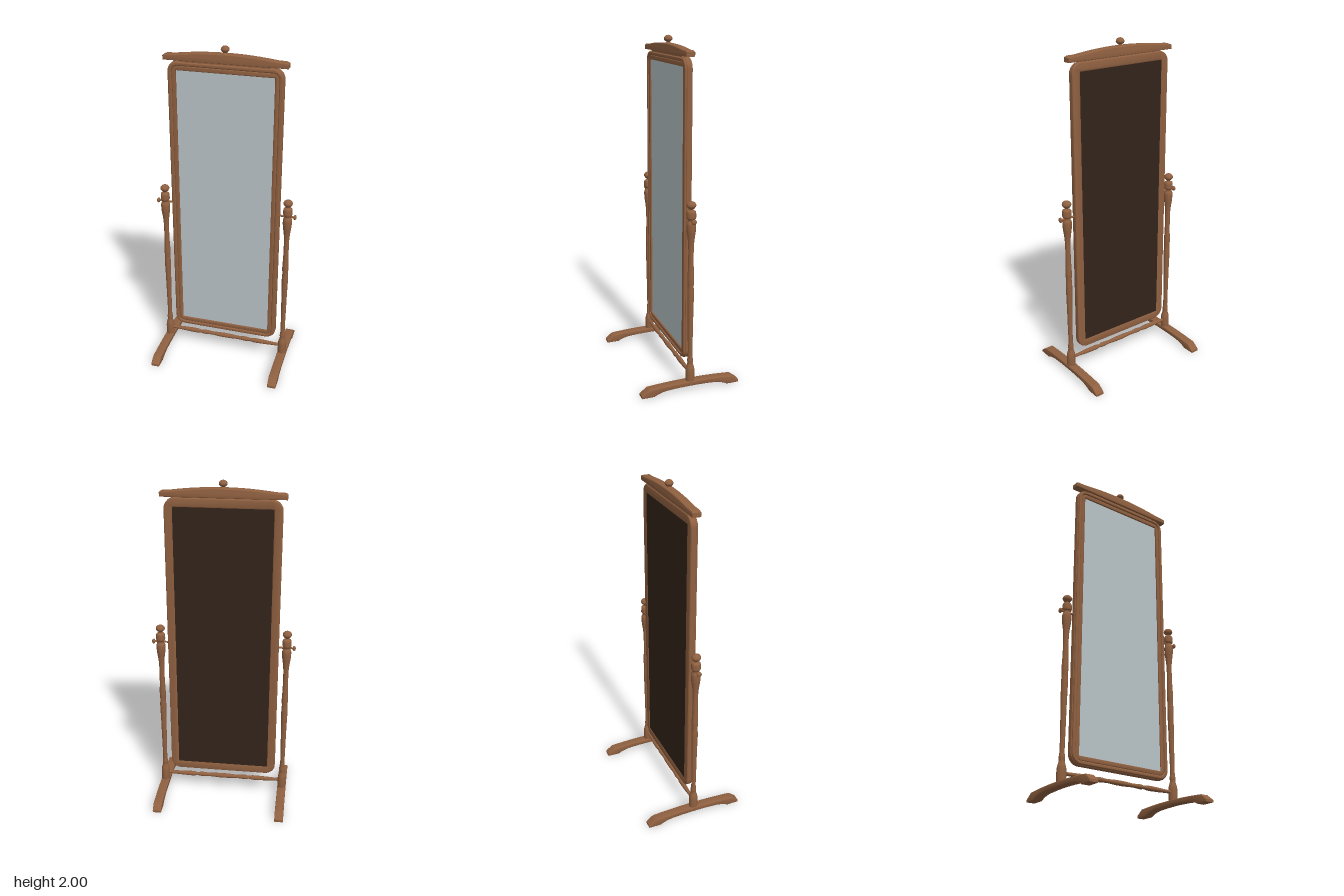
import * as THREE from 'three';
import { toCreasedNormals } from 'three/addons/utils/BufferGeometryUtils.js';

const wood = new THREE.MeshStandardMaterial({ color: 0x8f6040 });
const glass = new THREE.MeshStandardMaterial({ color: 0xb9c4c8 });
const backing = new THREE.MeshStandardMaterial({ color: 0x33241a });

function add(parent, name, geometry, material = wood) {
  const mesh = new THREE.Mesh(geometry, material);
  mesh.name = name;
  parent.add(mesh);
  return mesh;
}

// Extrusion centred on z, with rounded edges kept inside the outline
function slab(shape, thickness, bevel) {
  const geo = new THREE.ExtrudeGeometry(shape, {
    depth: thickness - 2 * bevel, bevelThickness: bevel, bevelSize: bevel,
    bevelOffset: -bevel, bevelSegments: 3, curveSegments: 10,
  });
  geo.translate(0, 0, bevel - thickness / 2);
  return toCreasedNormals(geo, 0.6);
}

// Turned piece from [radius, height] points joined by a smooth curve
function turned(points, samples = 60) {
  const curve = new THREE.CatmullRomCurve3(
    points.map(([r, y]) => new THREE.Vector3(r, y, 0)), false, 'centripetal');
  const profile = curve.getPoints(samples).map(p => new THREE.Vector2(Math.max(p.x, 0), p.y));
  return new THREE.LatheGeometry(profile, 24);
}

// Rounded rectangle given by half width, half height and corner radius
function roundedRect(path, w, h, r) {
  path.moveTo(-w + r, -h);
  path.lineTo(w - r, -h);
  path.absarc(w - r, -h + r, r, -Math.PI / 2, 0);
  path.absarc(w - r, h - r, r, 0, Math.PI / 2);
  path.absarc(-w + r, h - r, r, Math.PI / 2, Math.PI);
  path.absarc(-w + r, -h + r, r, Math.PI, Math.PI * 1.5);
  return path;
}

function ring(outer, inner) {
  const shape = roundedRect(new THREE.Shape(), ...outer);
  shape.holes.push(roundedRect(new THREE.Path(), ...inner));
  return shape;
}

// Framed mirror with stepped mouldings, glass, back panel and crest
function buildMirror() {
  const mirror = new THREE.Group();
  mirror.name = 'mirror';
  const cy = 1.028, h = 0.871;

  add(mirror, 'frame', slab(ring([0.33, h, 0.062], [0.28, h - 0.052, 0.002]), 0.034, 0.006))
    .position.set(0, cy, -0.004);
  add(mirror, 'outerMoulding', slab(ring([0.326, h - 0.004, 0.058], [0.304, h - 0.026, 0.036]), 0.02, 0.007))
    .position.set(0, cy, 0.012);
  add(mirror, 'innerMoulding', slab(ring([0.304, h - 0.026, 0.036], [0.28, h - 0.052, 0.002]), 0.012, 0.004))
    .position.set(0, cy, 0.011);
  add(mirror, 'glass', new THREE.BoxGeometry(0.564, 2 * h - 0.1, 0.008), glass).position.set(0, cy, 0.004);
  add(mirror, 'backPanel', new THREE.BoxGeometry(0.564, 2 * h - 0.1, 0.014), backing).position.set(0, cy, -0.0125);

  // Crest rail with a gently arched top
  const crest = new THREE.Shape();
  crest.moveTo(-0.352, 1.903);
  crest.lineTo(0.352, 1.903);
  crest.lineTo(0.352, 1.928);
  crest.lineTo(0.335, 1.935);
  crest.lineTo(0.29, 1.936);
  crest.quadraticCurveTo(0.14, 1.956, 0, 1.956);
  crest.quadraticCurveTo(-0.14, 1.956, -0.29, 1.936);
  crest.lineTo(-0.335, 1.935);
  crest.lineTo(-0.352, 1.928);
  add(mirror, 'crestRail', slab(crest, 0.05, 0.005));
  add(mirror, 'crestSeat', new THREE.BoxGeometry(0.5, 0.02, 0.026)).position.y = 1.898;
  add(mirror, 'crestFinial', turned([
    [0.014, 1.95], [0.013, 1.958], [0.009, 1.962], [0.017, 1.967],
    [0.024, 1.978], [0.02, 1.99], [0.011, 1.997], [0, 2],
  ], 28));
  return mirror;
}

// Arched foot, drawn with z along the shape's x axis
function footGeometry() {
  const foot = new THREE.Shape();
  foot.moveTo(-0.3, 0);
  foot.lineTo(-0.225, 0);
  foot.quadraticCurveTo(-0.19, 0.022, -0.13, 0.026);
  foot.quadraticCurveTo(0, 0.034, 0.13, 0.026);
  foot.quadraticCurveTo(0.19, 0.022, 0.225, 0);
  foot.lineTo(0.3, 0);
  foot.lineTo(0.3, 0.014);
  foot.lineTo(0.258, 0.046);
  foot.quadraticCurveTo(0.13, 0.057, 0, 0.057);
  foot.quadraticCurveTo(-0.13, 0.057, -0.258, 0.046);
  foot.lineTo(-0.3, 0.014);
  return slab(foot, 0.053, 0.004).rotateY(Math.PI / 2);
}

// Post, foot and pivot peg of one side (s = +1 for the model's left)
function buildSide(s) {
  const side = new THREE.Group();
  side.name = s > 0 ? 'leftStand' : 'rightStand';
  const x = 0.377 * s;

  add(side, 'foot', footGeometry()).position.x = x;
  add(side, 'post', turned([
    [0.025, 0.05], [0.026, 0.075], [0.026, 0.11], [0.024, 0.135], [0.016, 0.165], [0.017, 0.185],
    [0.014, 0.21], [0.015, 0.36], [0.017, 0.5], [0.019, 0.6], [0.017, 0.64], [0.019, 0.68],
    [0.016, 0.76], [0.016, 0.88], [0.02, 0.925], [0.025, 0.96], [0.027, 0.99],
    [0.026, 1.01], [0.02, 1.024], [0.02, 1.032], [0.026, 1.04],
    [0.027, 1.06], [0.024, 1.08], [0.012, 1.086], [0.011, 1.092], [0.019, 1.098],
    [0.027, 1.112], [0.022, 1.126], [0.012, 1.133], [0, 1.136],
  ], 130)).position.x = x;

  const rod = add(side, 'pivotRod', new THREE.CylinderGeometry(0.006, 0.006, 0.1, 14));
  rod.rotation.z = Math.PI / 2;
  rod.position.set(0.367 * s, 1.028, 0);
  const knob = add(side, 'pivotKnob', new THREE.SphereGeometry(0.015, 20, 14));
  knob.scale.x = 0.65;
  knob.position.set(0.42 * s, 1.028, 0);
  return side;
}

export function createModel() {
  const model = new THREE.Group();
  model.name = 'standingMirror';
  model.add(buildMirror(), buildSide(1), buildSide(-1));

  // Turned stretcher between the posts, mirrored about its middle
  const half = [[0.01, 0.365], [0.01, 0.33], [0.013, 0.26], [0.014, 0.19],
    [0.01, 0.165], [0.014, 0.14], [0.011, 0.09], [0.014, 0.03]];
  const profile = [...half.map(([r, y]) => [r, -y]), ...half.slice().reverse()];
  const stretcher = add(model, 'stretcher', turned(profile, 80));
  stretcher.rotation.z = Math.PI / 2;
  stretcher.position.y = 0.104;
  return model;
}
